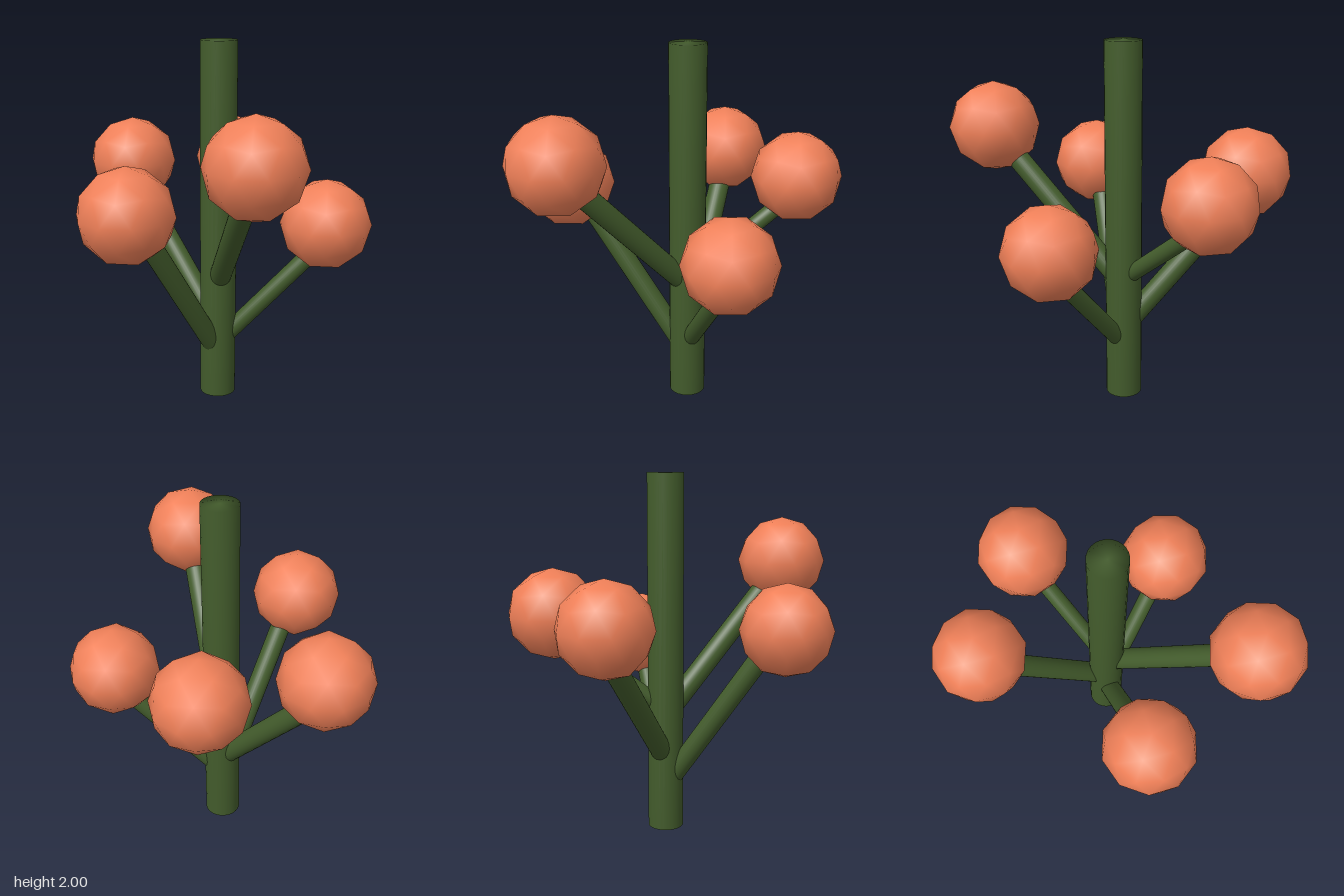
import * as THREE from 'three';
import { mergeVertices } from 'three/addons/utils/BufferGeometryUtils.js';

const green = new THREE.MeshStandardMaterial({ color: 0x435c2c });
const orange = new THREE.MeshStandardMaterial({ color: 0xf08058 });

// Cylinder whose normals run smoothly over the rim into the caps
function rod(radius, length) {
  const geo = new THREE.CylinderGeometry(radius, radius, length, 24);
  geo.deleteAttribute('uv');
  geo.deleteAttribute('normal');
  const smooth = mergeVertices(geo);
  smooth.computeVertexNormals();
  return smooth;
}

// Straight stem from one point to another
function stem(name, from, to, radius) {
  const dir = to.clone().sub(from);
  const mesh = new THREE.Mesh(rod(radius, dir.length()), green);
  mesh.name = name;
  mesh.position.copy(from).addScaledVector(dir, 0.5);
  mesh.quaternion.setFromUnitVectors(new THREE.Vector3(0, 1, 0), dir.normalize());
  return mesh;
}

export function createModel() {
  const model = new THREE.Group();
  model.name = 'berryPlant';
  const cx = 0.053, cz = -0.035;

  // Main upright stalk
  model.add(stem('stalk', new THREE.Vector3(cx, 0, cz), new THREE.Vector3(cx, 2, cz), 0.1));

  // Smooth low-poly berry with one vertex pointing straight up
  const berryGeo = new THREE.IcosahedronGeometry(0.25, 1);
  berryGeo.rotateZ(-Math.atan(2 / (1 + Math.sqrt(5))));

  // Berry centre, height where the branch leaves the stalk, branch tip height, branch radius
  const branches = [
    { name: 'right', berry: [-0.6, 1.265, -0.25], base: 0.4, tip: 1.16, r: 0.06 },
    { name: 'back', berry: [-0.09, 1.25, -0.63], base: 0.69, tip: 1.16, r: 0.046 },
    { name: 'front', berry: [-0.142, 1.195, 0.625], base: 0.24, tip: 1.24, r: 0.057 },
    { name: 'frontLeft', berry: [0.52, 1.49, 0.593], base: 0.66, tip: 1.46, r: 0.06 },
    { name: 'left', berry: [0.6, 1.015, -0.248], base: 0.295, tip: 0.92, r: 0.049 },
  ];
  for (const { name, berry, base, tip, r } of branches) {
    const [x, y, z] = berry;
    model.add(stem(name + 'Branch', new THREE.Vector3(cx, base, cz), new THREE.Vector3(x, tip, z), r));
    const ball = new THREE.Mesh(berryGeo, orange);
    ball.name = name + 'Berry';
    ball.position.set(x, y, z);
    model.add(ball);
  }
  return model;
}
